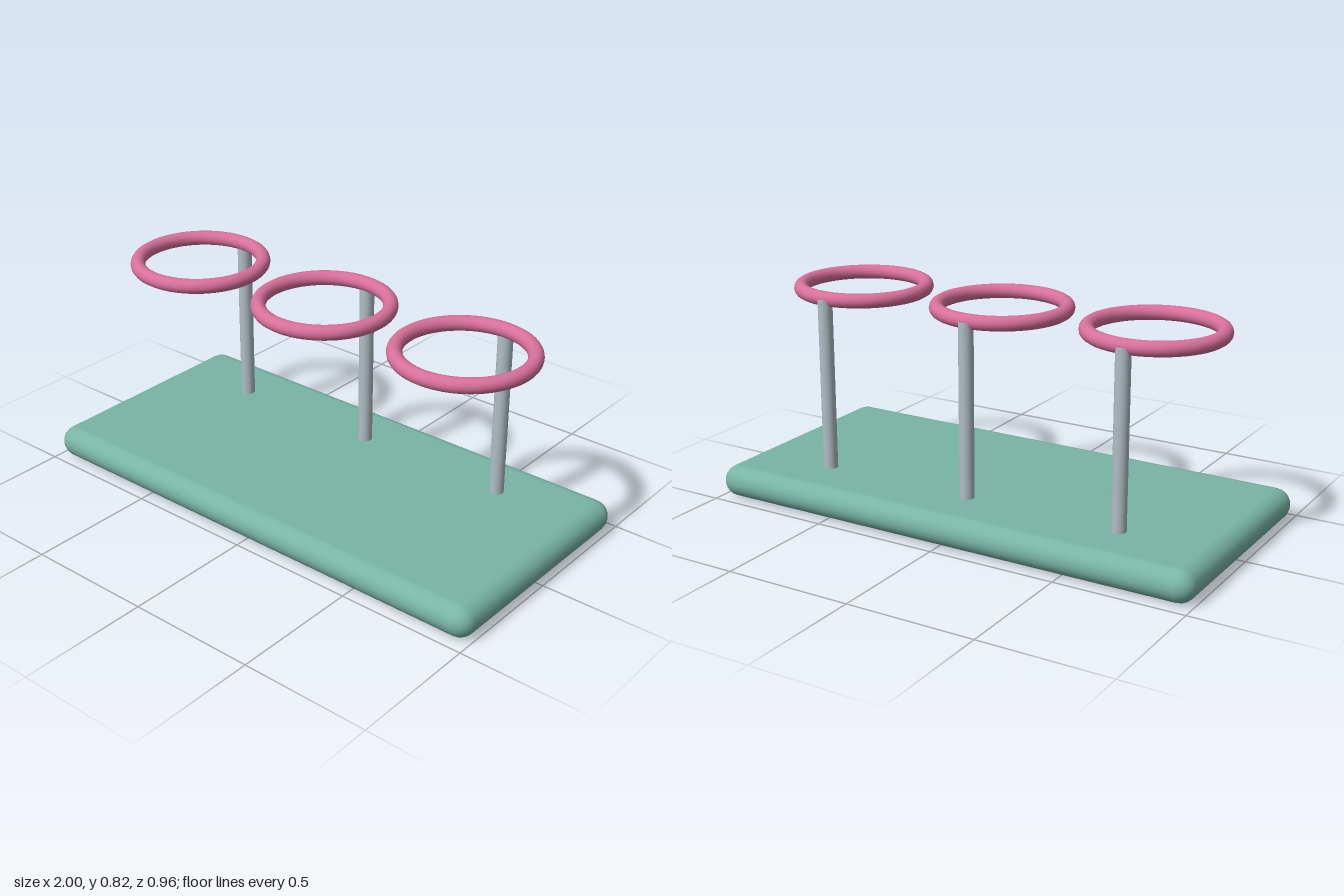
import * as THREE from 'three';
import { RoundedBoxGeometry } from 'three/addons/geometries/RoundedBoxGeometry.js';

const BASE_HEIGHT = 0.125;
const RING_Y = 0.793;
const TUBE = 0.028;
const SPACING = 0.625;

export function createModel() {
  const model = new THREE.Group();
  model.name = 'ringStand';

  const green = new THREE.MeshStandardMaterial({ color: 0x78b5a5 });
  const steel = new THREE.MeshStandardMaterial({ color: 0xb0bec5 });
  const pink = new THREE.MeshStandardMaterial({ color: 0xd8709a });

  const add = (parent, name, geometry, material, x, y, z) => {
    const mesh = new THREE.Mesh(geometry, material);
    mesh.name = name;
    mesh.position.set(x, y, z);
    parent.add(mesh);
    return mesh;
  };

  // Rounded slab with fully rounded edges
  const slab = new RoundedBoxGeometry(2, BASE_HEIGHT, 0.956, 3, BASE_HEIGHT / 2);
  add(model, 'base', slab, green, 0, BASE_HEIGHT / 2, 0);

  // Each holder: a post at the back, rising into a horizontal ring
  const postBottom = BASE_HEIGHT - 0.02;
  const postHeight = RING_Y - postBottom;
  const postGeometry = new THREE.CylinderGeometry(TUBE, TUBE, postHeight, 24);
  const ringGeometry = new THREE.TorusGeometry(0.242, TUBE, 16, 64).rotateX(Math.PI / 2);

  ['right', 'middle', 'left'].forEach((side, i) => {
    const holder = new THREE.Group();
    holder.name = `${side}Holder`;
    holder.position.x = (i - 1) * SPACING;
    add(holder, 'post', postGeometry, steel, 0, postBottom + postHeight / 2, -0.25);
    add(holder, 'ring', ringGeometry, pink, 0, RING_Y, 0);
    model.add(holder);
  });

  return model;
}
